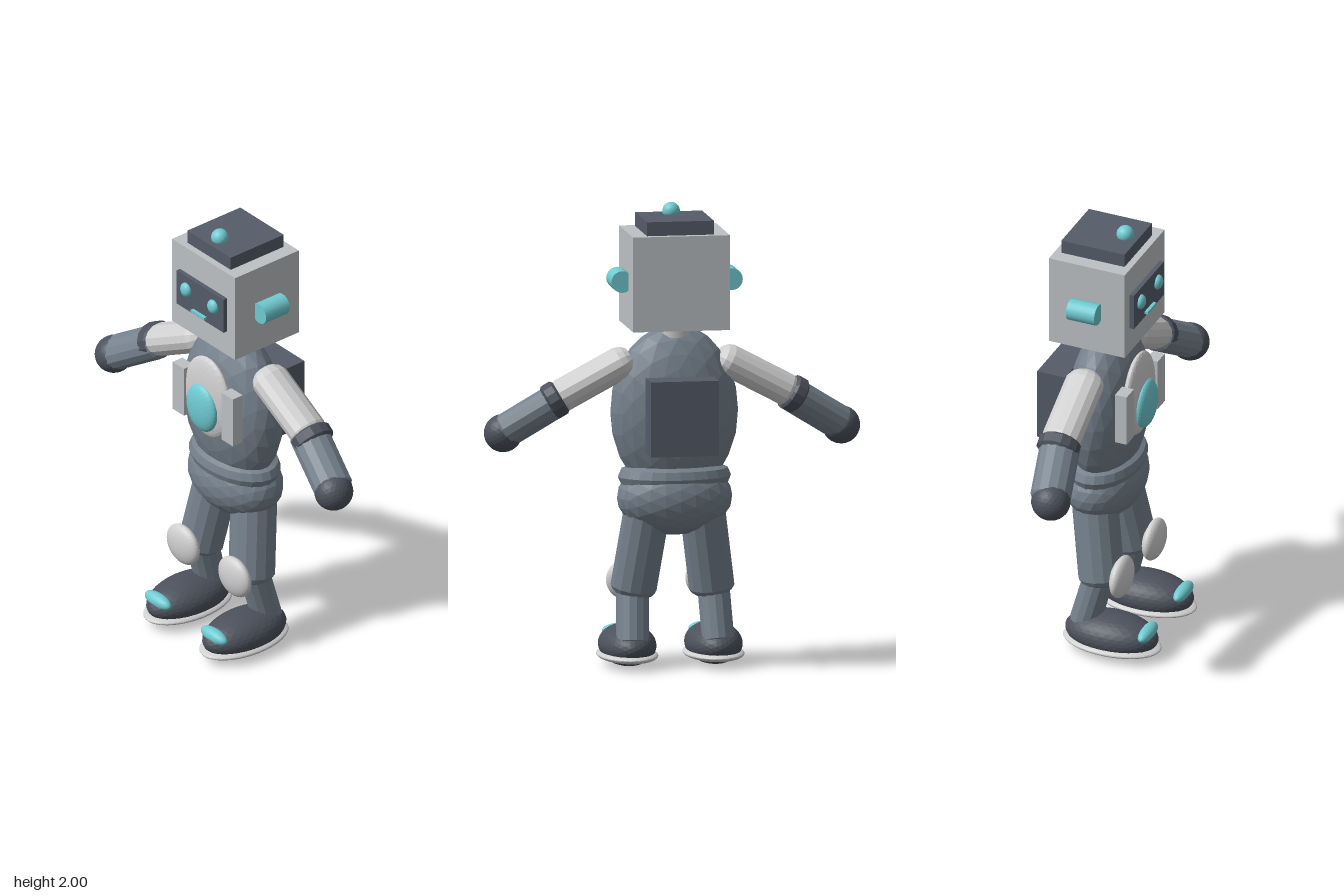
import * as THREE from 'three';

const mat = (name, color) => {
  const m = new THREE.MeshStandardMaterial({ color });
  m.name = name;
  return m;
};

// Faceted copy of a geometry: every face gets its own normal
function facet(geo) {
  const g = geo.index ? geo.toNonIndexed() : geo;
  g.computeVertexNormals();
  return g;
}

export function createModel() {
  const shell = mat('shellGrey', 0xbdc1c4);
  const pale = mat('paleGrey', 0xcfcfd0);
  const steel = mat('steelBlueGrey', 0x75818d);
  const dark = mat('darkSlate', 0x4c515c);
  const panel = mat('panelSlate', 0x555c69);
  const cyan = mat('cyan', 0x6fcbd2);

  const robot = new THREE.Group();
  robot.name = 'robot';

  function add(name, geo, material, pos, parent = robot) {
    const m = new THREE.Mesh(geo, material);
    m.name = name;
    m.position.set(...pos);
    parent.add(m);
    return m;
  }
  const box = (name, material, size, pos, parent) =>
    add(name, new THREE.BoxGeometry(...size), material, pos, parent);
  const blob = (name, material, radii, pos, detail = 4, parent = robot) =>
    add(name, facet(new THREE.IcosahedronGeometry(1, detail).scale(...radii)), material, pos, parent);

  // Limb segment: faceted tube with softened ends running from a to b
  function limb(name, material, a, b, r, depth, bevel, parent) {
    const from = new THREE.Vector3(...a), to = new THREE.Vector3(...b);
    const dir = to.clone().sub(from), h = dir.length() / 2;
    const profile = [[0, -h], [r * 0.6, -h + bevel * 0.12], [r * 0.87, -h + bevel * 0.5], [r, -h + bevel],
      [r, h - bevel], [r * 0.87, h - bevel * 0.5], [r * 0.6, h - bevel * 0.12], [0, h]]
      .map(p => new THREE.Vector2(...p));
    const geo = facet(new THREE.LatheGeometry(profile, 14).scale(1, 1, depth));
    const m = add(name, geo, material, from.clone().add(to).multiplyScalar(0.5).toArray(), parent);
    m.quaternion.setFromUnitVectors(new THREE.Vector3(0, 1, 0), dir.normalize());
    return m;
  }

  // Head, cap and antenna ball
  box('head', shell, [0.42, 0.41, 0.355], [0, 1.685, -0.037]);
  box('headCap', panel, [0.29, 0.06, 0.295], [0, 1.92, -0.037]);
  blob('antennaBall', cyan, [0.038, 0.038, 0.038], [0, 1.962, 0.05]);

  // Face
  box('facePanel', panel, [0.315, 0.165, 0.025], [0, 1.682, 0.148]);
  box('mouth', cyan, [0.09, 0.012, 0.016], [0, 1.62, 0.167]);

  // Neck and trunk
  add('neck', new THREE.CylinderGeometry(0.075, 0.075, 0.1, 16), pale, [0, 1.455, -0.03]);
  blob('torso', steel, [0.277, 0.375, 0.158], [0, 1.11, -0.027], 3);
  add('waistBand', facet(new THREE.TorusGeometry(0.195, 0.05, 8, 24)
    .rotateX(Math.PI / 2).scale(1, 0.95, 0.64)), steel, [0, 0.83, -0.033]);
  blob('pelvis', steel, [0.25, 0.165, 0.168], [0, 0.74, -0.037], 3);

  // Chest and backpack
  blob('chestPlate', pale, [0.148, 0.195, 0.038], [0, 1.187, 0.115], 5);
  blob('chestLight', cyan, [0.095, 0.112, 0.037], [0, 1.145, 0.148], 5);
  box('backpack', panel, [0.295, 0.325, 0.13], [0, 1.112, -0.232]);

  for (const s of [1, -1]) {
    const side = s > 0 ? 'left' : 'right';

    blob(side + 'Eye', cyan, [0.031, 0.033, 0.022], [s * 0.09, 1.7, 0.162]);
    add(side + 'Ear', new THREE.CylinderGeometry(0.047, 0.047, 0.132, 20).rotateX(Math.PI / 2),
      cyan, [s * 0.238, 1.682, -0.036]);
    box(side + 'ChestPod', shell, [0.076, 0.235, 0.055], [s * 0.163, 1.162, 0.118]);

    // Arm
    const arm = new THREE.Group();
    arm.name = side + 'Arm';
    robot.add(arm);
    limb('upperArm', pale, [s * 0.185, 1.35, -0.037], [s * 0.535, 1.163, -0.032], 0.071, 1.22, 0.055, arm);
    limb('forearm', steel, [s * 0.475, 1.19, -0.035], [s * 0.745, 1.02, 0.025], 0.074, 1.18, 0.03, arm);
    limb('elbowBand', dark, [s * 0.485, 1.19, -0.034], [s * 0.555, 1.148, -0.028], 0.08, 1.17, 0.02, arm);
    blob('hand', dark, [0.082, 0.082, 0.085], [s * 0.733, 1.023, 0.027], 4, arm);

    // Leg
    const leg = new THREE.Group();
    leg.name = side + 'Leg';
    robot.add(leg);
    limb('thigh', steel, [s * 0.115, 0.72, -0.045], [s * 0.175, 0.305, 0.02], 0.1, 1, 0.04, leg);
    limb('shin', steel, [s * 0.174, 0.38, 0.015], [s * 0.187, 0.1, -0.06], 0.071, 0.95, 0.02, leg);
    blob('kneePad', pale, [0.1, 0.092, 0.04], [s * 0.172, 0.365, 0.11], 6, leg);

    // Shoe: the body pokes through the pale sole underneath
    blob('shoe', dark, [0.122, 0.09, 0.212], [s * 0.187, 0.09, 0.07], 5, leg);
    blob('sole', pale, [0.13, 0.03, 0.224], [s * 0.187, 0.047, 0.072], 6, leg);
    blob('toeCap', cyan, [0.08, 0.032, 0.032], [s * 0.187, 0.127, 0.238], 5, leg);
  }
  return robot;
}
